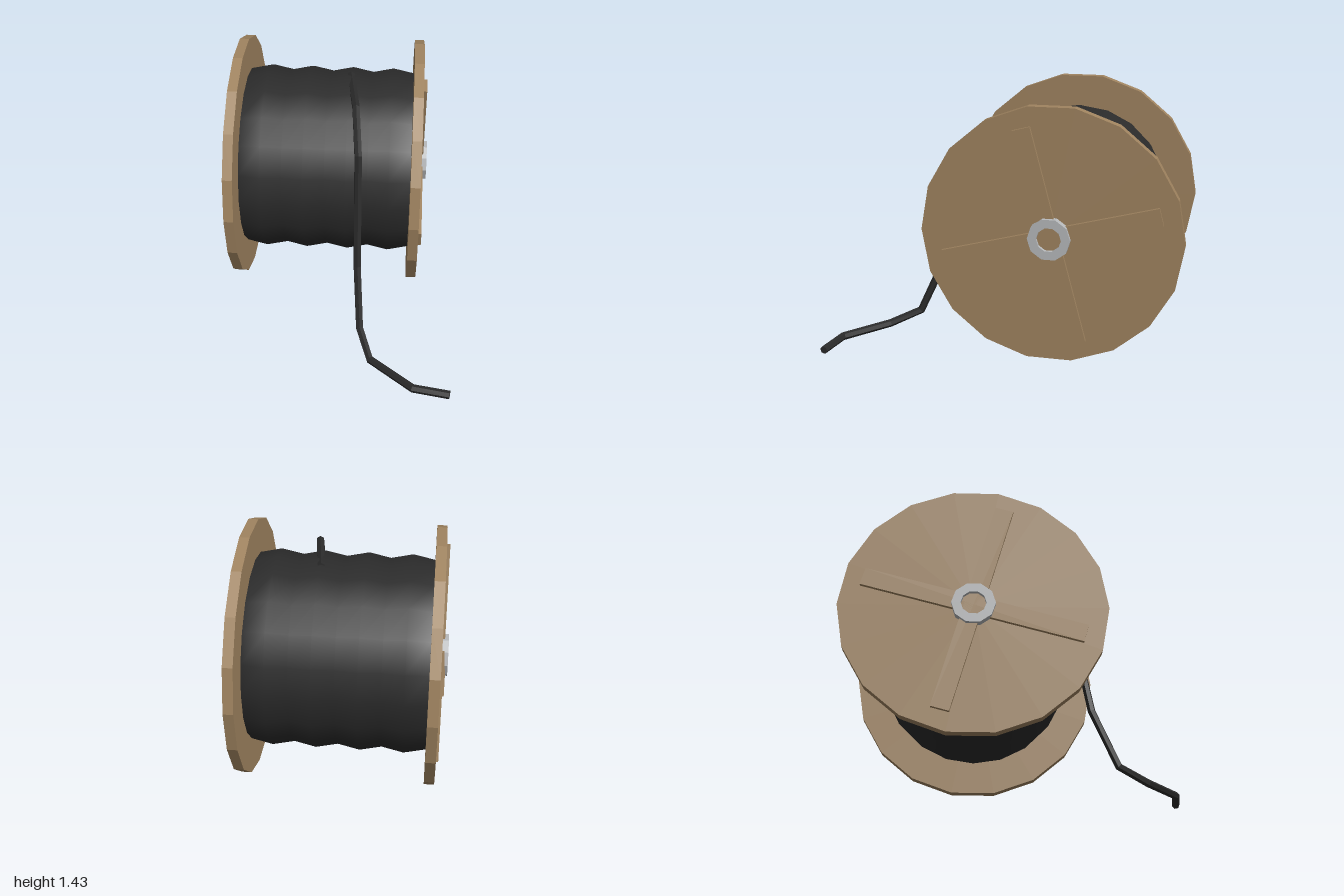
import * as THREE from 'three';

const AXIS = new THREE.Vector3(-0.083, 0.722, -0.28); // centre of the spool
const DRUM_HALF = 0.483;
const FLANGE = 0.055, PLANK = 0.02, HUB = 0.041;

// Polyline that bends sharply at each point
class BentPath extends THREE.Curve {
  constructor(points) {
    super();
    this.points = points;
  }
  getPointAt(t, target = new THREE.Vector3()) {
    const i = Math.round(t * (this.points.length - 1));
    return target.copy(this.points[i]);
  }
  getTangentAt(t, target = new THREE.Vector3()) {
    const p = this.points, last = p.length - 1, i = Math.round(t * last);
    target.set(0, 0, 0);
    if (i > 0) target.add(p[i].clone().sub(p[i - 1]).normalize());
    if (i < last) target.add(p[i + 1].clone().sub(p[i]).normalize());
    return target.normalize();
  }
}

export function createModel() {
  const model = new THREE.Group();
  model.name = 'cableSpool';

  const wood = new THREE.MeshStandardMaterial({ color: 0xa08460 });
  wood.name = 'wood';
  const metal = new THREE.MeshStandardMaterial({ color: 0xb8babc });
  metal.name = 'metal';
  const rubber = new THREE.MeshStandardMaterial({ color: 0x2b2b2b });
  rubber.name = 'blackRubber';
  // Faceted parts get non-indexed geometry with one normal per face
  const faceted = (geometry) => {
    const g = geometry.index ? geometry.toNonIndexed() : geometry;
    g.computeVertexNormals();
    return g;
  };
  const add = (parent, name, geometry, material) => {
    const mesh = new THREE.Mesh(geometry, material);
    mesh.name = name;
    parent.add(mesh);
    return mesh;
  };

  const spool = new THREE.Group();
  spool.name = 'spool';
  spool.position.copy(AXIS);
  model.add(spool);

  // Wound cable: four shallow ridges along the drum
  const profile = [];
  for (let i = 0; i <= 8; i++) {
    profile.push(new THREE.Vector2(i % 2 ? 0.551 : 0.526, -DRUM_HALF + (i * DRUM_HALF) / 4));
  }
  add(spool, 'woundCable', new THREE.LatheGeometry(profile, 20), rubber).rotation.z = -Math.PI / 2;

  // Each end: flange, crossed planks and hub ring
  for (const side of [1, -1]) {
    const end = new THREE.Group();
    end.name = side > 0 ? 'leftEnd' : 'rightEnd';
    spool.add(end);
    const face = DRUM_HALF + FLANGE;

    const flange = add(end, 'flange', faceted(new THREE.CylinderGeometry(0.72, 0.72, FLANGE, 18)), wood);
    flange.rotation.z = -Math.PI / 2;
    flange.position.x = side * (DRUM_HALF + FLANGE / 2);

    for (const turn of [0, Math.PI / 2]) {
      const plank = add(end, 'crossPlank', new THREE.BoxGeometry(PLANK, 1.226, 0.1), wood);
      plank.position.x = side * (face + PLANK / 2);
      plank.rotation.x = THREE.MathUtils.degToRad(15) + turn;
    }

    const h = HUB / 2;
    const section = [[0.068, -h], [0.118, -h], [0.118, h], [0.068, h], [0.068, -h]]
      .map(([r, y]) => new THREE.Vector2(r, y));
    const hub = add(end, 'hubRing', faceted(new THREE.LatheGeometry(section, 10)), metal);
    hub.rotation.z = -Math.PI / 2;
    hub.position.x = side * (face + h);
  }

  // Loose cable end: leaves the top, hangs in front and lies on the floor
  const path = new BentPath([
    [0.035, 1.252, -0.34], [0.085, 1.243, 0.035], [0.112, 1.085, 0.285], [0.12, 0.43, 0.41],
    [0.145, 0.1, 0.56], [0.213, 0.025, 0.735], [0.455, 0.025, 0.94], [0.655, 0.025, 0.975],
  ].map((p) => new THREE.Vector3(...p)));
  const radius = 0.023, sides = 6;
  add(model, 'looseCable',
    faceted(new THREE.TubeGeometry(path, path.points.length - 1, radius, sides)), rubber);

  // Caps closing both cable ends
  const frames = path.computeFrenetFrames(path.points.length - 1);
  for (const [i, sign] of [[0, -1], [path.points.length - 1, 1]]) {
    const cap = add(model, 'cableCap', new THREE.CircleGeometry(radius, sides), rubber);
    const z = frames.tangents[i].clone().multiplyScalar(sign);
    const x = frames.normals[i];
    cap.quaternion.setFromRotationMatrix(
      new THREE.Matrix4().makeBasis(x, z.clone().cross(x), z));
    cap.position.copy(path.points[i]);
  }
  return model;
}
